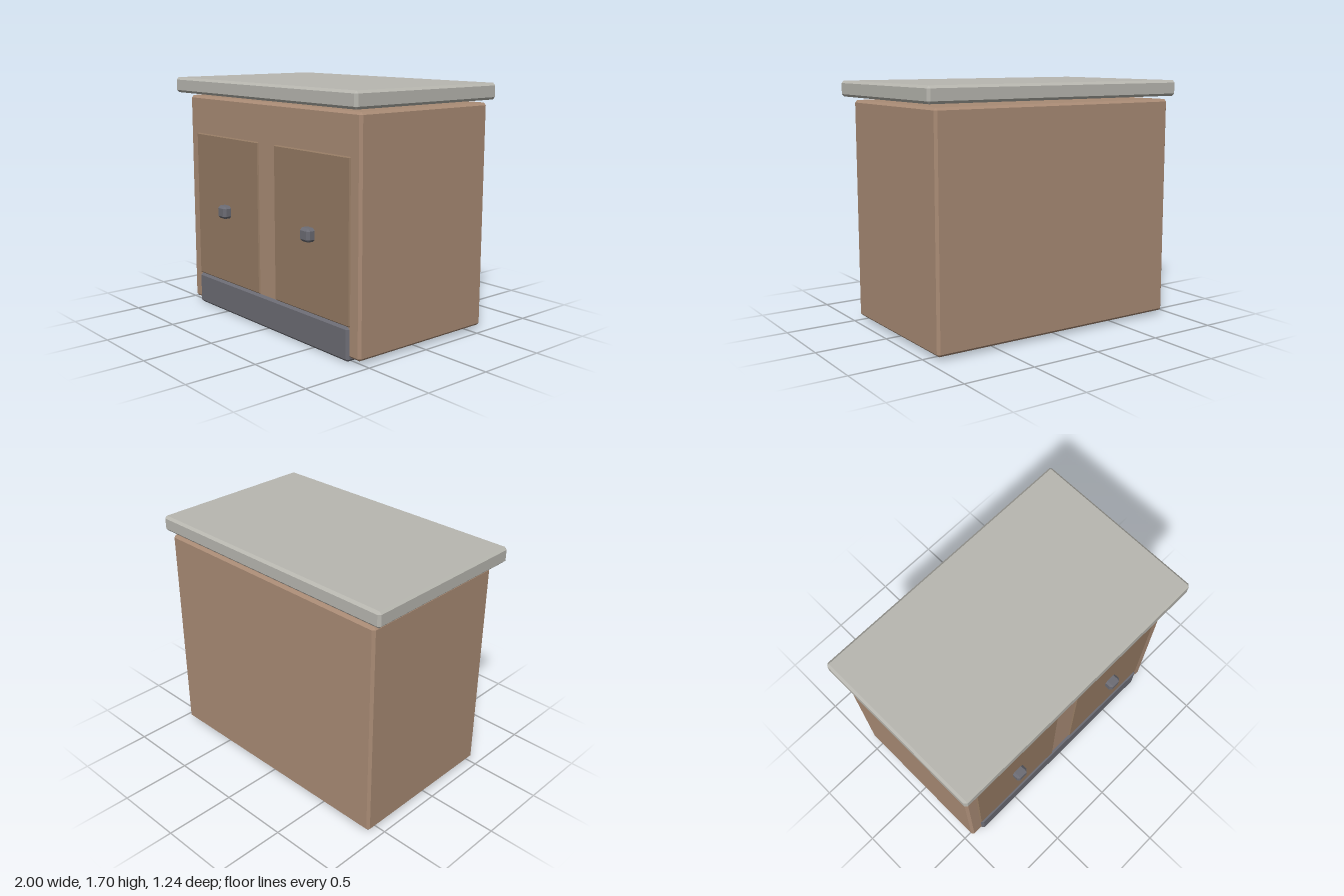
import * as THREE from 'three';
import { ConvexGeometry } from 'three/addons/geometries/ConvexGeometry.js';

const paint = (color) => new THREE.MeshStandardMaterial({ color });

// Box with flat chamfers on every edge, given as [min, max] per axis
function chamferBox(name, x, y, z, c, material) {
  const half = [x, y, z].map(([a, b]) => (b - a) / 2);
  const points = [];
  for (const sx of [-1, 1]) for (const sy of [-1, 1]) for (const sz of [-1, 1]) {
    // each corner becomes three points, one on each adjoining face
    for (let face = 0; face < 3; face++) {
      const p = half.map((h, axis) => (axis === face ? h : h - c));
      points.push(new THREE.Vector3(sx * p[0], sy * p[1], sz * p[2]));
    }
  }
  const mesh = new THREE.Mesh(new ConvexGeometry(points), material);
  mesh.name = name;
  mesh.position.set(...[x, y, z].map(([a, b]) => (a + b) / 2));
  return mesh;
}

export function createModel() {
  const group = new THREE.Group();
  group.name = 'baseCabinet';
  const wood = paint(0xa98b75);
  const doorWood = paint(0x947a63);
  const metal = paint(0x6c6c74);
  const stone = paint(0xb8b7b0);

  // Carcass, with a small gap below the worktop
  group.add(chamferBox('cabinetBody', [-0.943, 0.943], [0.025, 1.566], [-0.6, 0.53], 0.017, wood));
  group.add(chamferBox('worktop', [-1, 1], [1.588, 1.698], [-0.621, 0.621], 0.017, stone));
  group.add(chamferBox('kickBoard', [-0.85, 0.85], [0, 0.228], [0.325, 0.547], 0.017, metal));

  // Pair of doors, each with a knob in the middle
  for (const [side, s] of [['left', 1], ['right', -1]]) {
    const span = (a, b) => (s > 0 ? [a, b] : [-b, -a]);
    group.add(chamferBox(side + 'Door', span(0.086, 0.858), [0.224, 1.297], [0.49, 0.538], 0.011, doorWood));
    group.add(chamferBox(side + 'Knob', span(0.425, 0.521), [0.711, 0.802], [0.5, 0.595], 0.017, metal));
  }
  return group;
}
